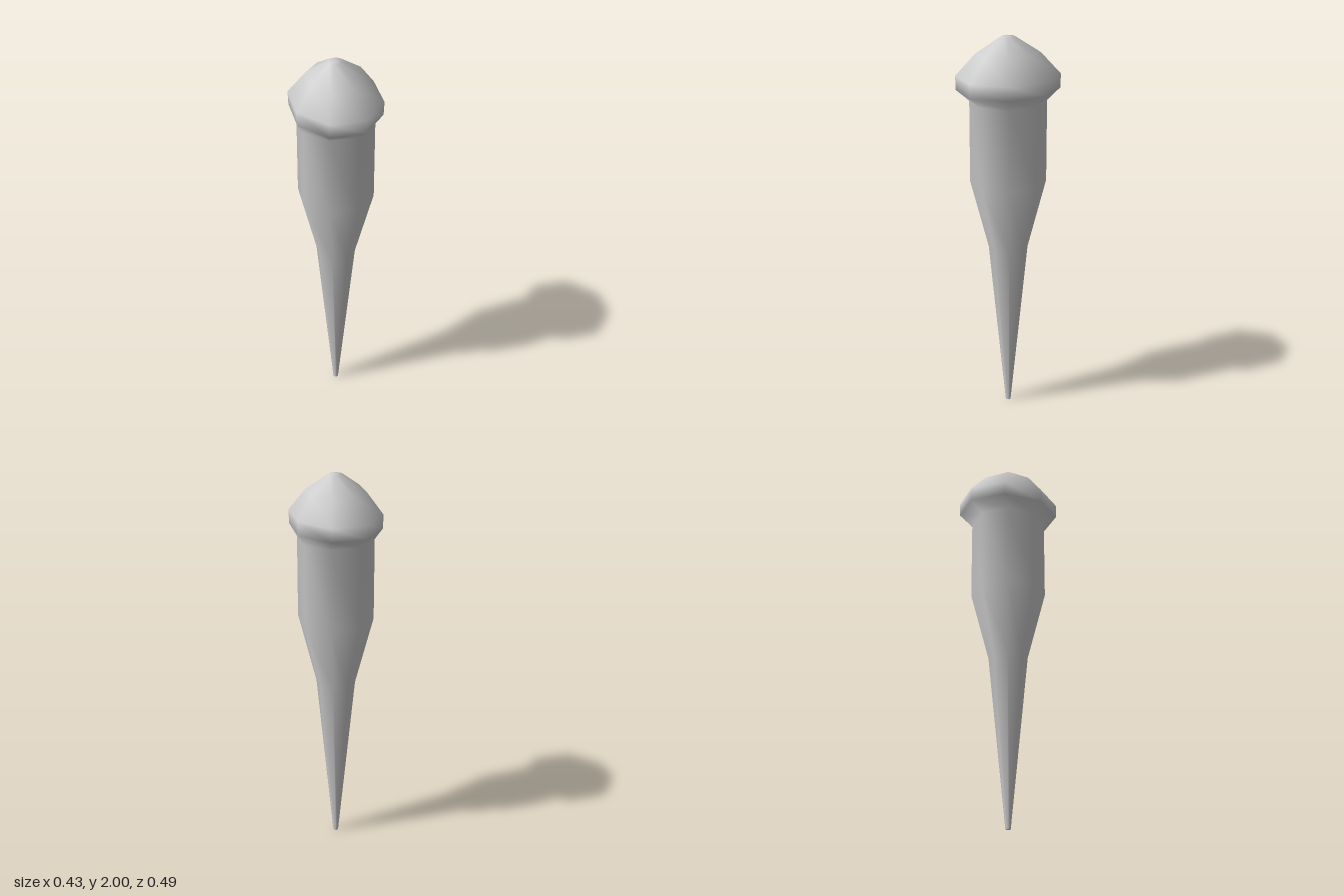
import * as THREE from 'three';
import { mergeVertices } from 'three/addons/utils/BufferGeometryUtils.js';

const SIDES = 8;
// Rings from tip to crown: [height, half-width in x, half-depth in z]
const RINGS = [
  [0, 0, 0],
  [0, 0.012, 0.012],
  [0.9, 0.093, 0.093], // end of the slender spike
  [1.26, 0.178, 0.178], // start of the straight shaft
  [1.68, 0.178, 0.178], // under the head
  [1.74, 0.21, 0.244], // head rim
  [1.81, 0.213, 0.245],
  [1.92, 0.137, 0.15], // domed crown
  [2, 0.034, 0.034],
  [2, 0, 0],
];

// Octagonal lathe with flat sides facing the axes, its rings stretched in z
function spikeGeometry() {
  const toCorner = 1 / Math.cos(Math.PI / SIDES);
  const profile = RINGS.map(([y, x]) => new THREE.Vector2(x * toCorner, y));
  let geometry = new THREE.LatheGeometry(profile, SIDES, Math.PI / SIDES);
  const pos = geometry.attributes.position;
  for (let i = 0; i < pos.count; i++) {
    const [, x, z] = RINGS[i % RINGS.length];
    if (x > 0) pos.setZ(i, pos.getZ(i) * z / x);
  }
  // Weld the seam so the shading is smooth all round
  geometry.deleteAttribute('normal');
  geometry.deleteAttribute('uv');
  geometry = mergeVertices(geometry);
  geometry.computeVertexNormals();
  return geometry;
}

export function createModel() {
  const model = new THREE.Group();
  model.name = 'spike';
  const body = new THREE.Mesh(
    spikeGeometry(),
    new THREE.MeshStandardMaterial({ color: 0xcccccc })
  );
  body.name = 'shaftAndHead';
  model.add(body);
  return model;
}
